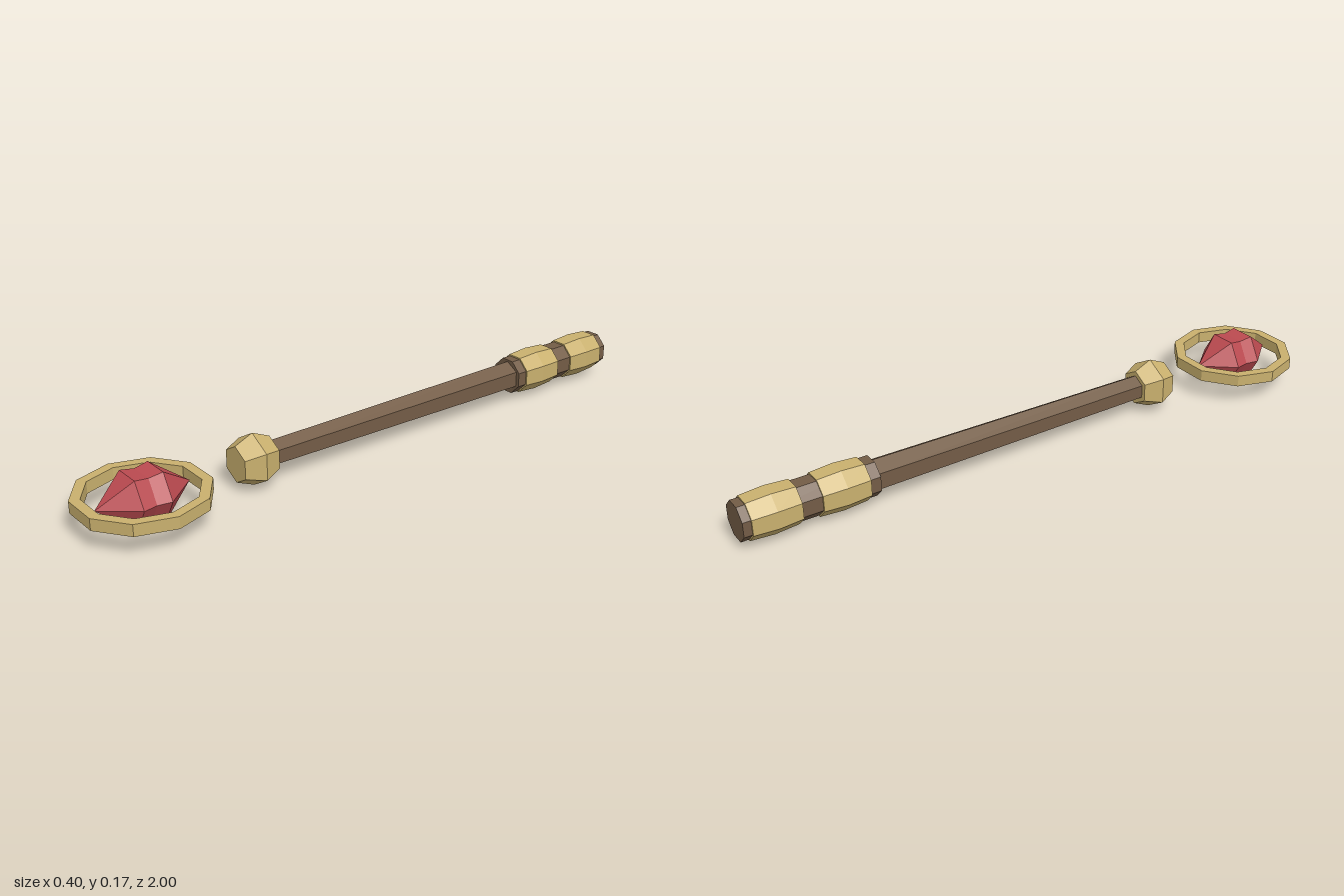
import * as THREE from 'three';

const AXIS_Y = 0.084; // height of the long axis

const material = (color) => new THREE.MeshStandardMaterial({ color, flatShading: true });
const wood = material(0x735c46);
const brass = material(0xc9b06e);
const ruby = material(0xbb4a50);

// Faceted solid along z from [radius, z] pairs (z ascending); phase turns its sides.
function turned(name, mat, sides, phase, profile) {
  const points = profile.map(([r, z]) => new THREE.Vector2(r, z));
  const geometry = new THREE.LatheGeometry(points, sides, phase).rotateX(Math.PI / 2);
  const mesh = new THREE.Mesh(geometry, mat);
  mesh.name = name;
  mesh.position.y = AXIS_Y;
  return mesh;
}

// Flat ten-sided hoop lying in the horizontal plane.
function hoop(outer, inner, height) {
  const corners = (r) => Array.from({ length: 10 }, (_, i) => {
    const a = (i * Math.PI) / 5;
    return new THREE.Vector2(r * Math.cos(a), r * Math.sin(a));
  });
  const shape = new THREE.Shape(corners(outer));
  shape.holes.push(new THREE.Path(corners(inner)));
  const geometry = new THREE.ExtrudeGeometry(shape, { depth: height, bevelEnabled: false });
  geometry.translate(0, 0, -height / 2).rotateX(-Math.PI / 2);
  const mesh = new THREE.Mesh(geometry, brass);
  mesh.name = 'ring';
  return mesh;
}

export function createModel() {
  const group = new THREE.Group();
  group.name = 'wand';

  // Six-sided tapering shaft
  group.add(turned('shaft', wood, 6, 0, [[0, -0.6], [0.051, -0.6], [0.042, 0.4], [0, 0.4]]));

  // Eight-sided grip with two swelling bands
  const flat = Math.PI / 8;
  group.add(turned('grip', wood, 8, flat, [[0, -1], [0.061, -1], [0.061, -0.58], [0, -0.58]]));
  for (const z of [-0.9, -0.688]) {
    group.add(turned('gripBand', brass, 8, flat, [
      [0.05, z - 0.075], [0.066, z - 0.075], [0.071, z], [0.066, z + 0.075], [0.05, z + 0.075],
    ]));
  }

  // Collar knob at the end of the shaft
  group.add(turned('collar', brass, 6, 0, [
    [0, 0.387], [0.058, 0.387], [0.084, 0.446], [0.058, 0.506], [0, 0.506],
  ]));

  // Floating hoop and the waisted gem inside it
  const ring = hoop(0.2, 0.168, 0.037);
  ring.position.set(0, AXIS_Y + 0.001, 0.81);
  group.add(ring);
  group.add(turned('gem', ruby, 6, Math.PI / 6, [
    [0, 0.66], [0.086, 0.764], [0.078, 0.808], [0.086, 0.852], [0, 0.956],
  ]));

  return group;
}
